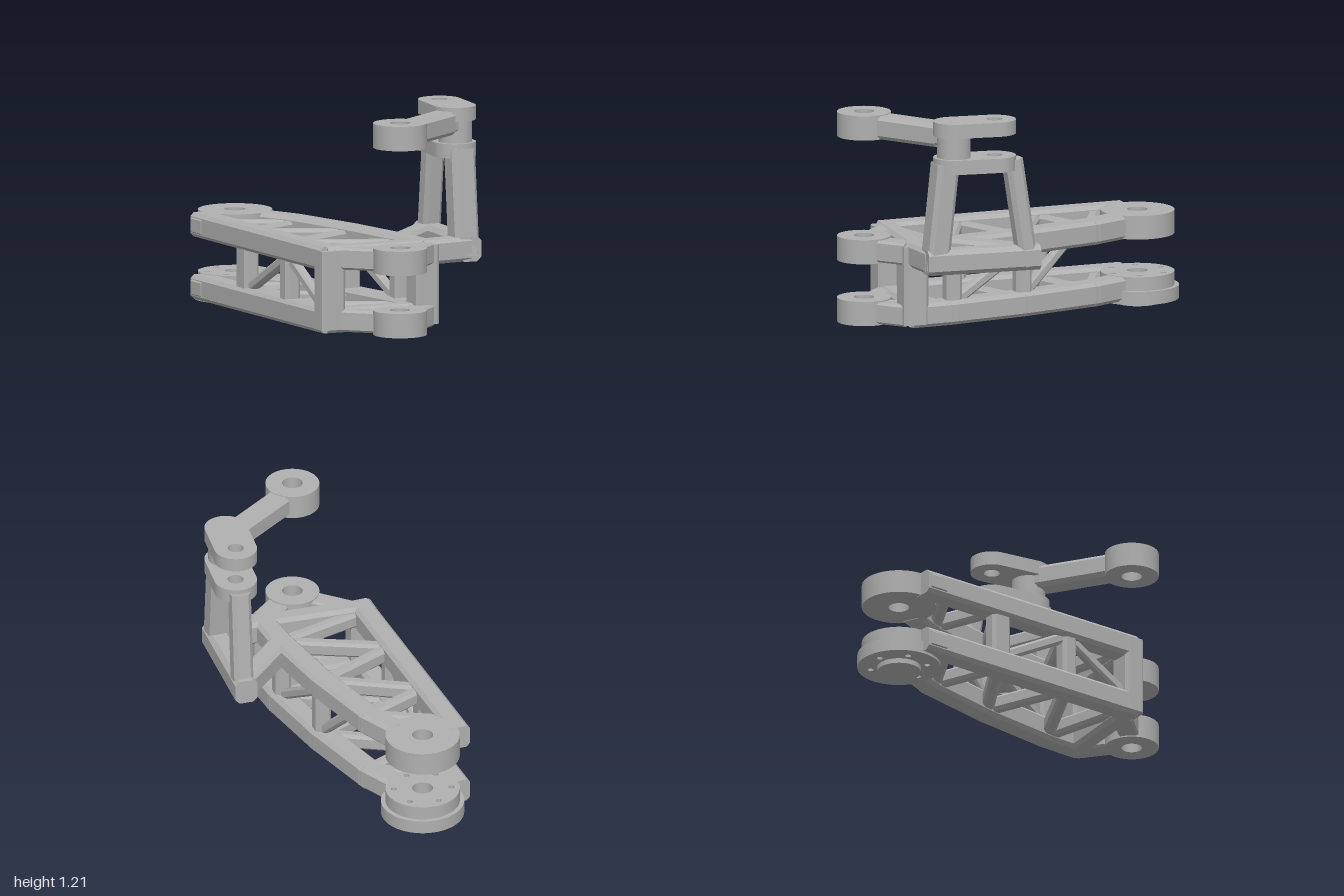
import * as THREE from 'three';
import { toCreasedNormals } from 'three/addons/utils/BufferGeometryUtils.js';

export function createModel() {
  const model = new THREE.Group();
  const grey = new THREE.MeshStandardMaterial({ color: 0xb0b0b0 });
  grey.name = 'grey';

  const add = (name, geometry, parent = model) => {
    const mesh = new THREE.Mesh(geometry, grey);
    mesh.name = name;
    parent.add(mesh);
    return mesh;
  };

  // Chamfered beam between two points; w is sideways, h is the other way
  const beam = (name, a, b, w, h, chamfer = 0.018, extra = 0) => {
    const from = new THREE.Vector3(...a), to = new THREE.Vector3(...b);
    const dir = to.clone().sub(from);
    const length = dir.length() + extra * 2;
    dir.normalize();
    const hint = Math.abs(dir.y) > 0.9 ? new THREE.Vector3(0, 0, 1) : new THREE.Vector3(0, 1, 0);
    const side = new THREE.Vector3().crossVectors(hint, dir).normalize();
    const up = new THREE.Vector3().crossVectors(dir, side);
    const x = w / 2, y = h / 2, c = chamfer;
    const section = new THREE.Shape([
      [x, -y + c], [x, y - c], [x - c, y], [-x + c, y],
      [-x, y - c], [-x, -y + c], [-x + c, -y], [x - c, -y],
    ].map(p => new THREE.Vector2(...p)));
    const g = new THREE.ExtrudeGeometry(section, { depth: length, bevelEnabled: false });
    g.translate(0, 0, -extra);
    g.applyMatrix4(new THREE.Matrix4().makeBasis(side, up, dir).setPosition(from));
    return add(name, g);
  };

  // Flat plate from a plan outline (shape y = -z)
  const plate = (name, shape, y0, y1) => {
    const g = new THREE.ExtrudeGeometry(shape, { depth: y1 - y0, bevelEnabled: false, curveSegments: 40 });
    g.rotateX(-Math.PI / 2);
    g.translate(0, y0, 0);
    return add(name, toCreasedNormals(g, 0.5));
  };
  const hole = (shape, x, z, r) => {
    const p = new THREE.Path();
    p.absarc(x, -z, r, 0, Math.PI * 2, true);
    shape.holes.push(p);
  };
  const ring = (name, x, z, r, inner, y0, y1, bolts = 0) => {
    const s = new THREE.Shape();
    s.absarc(x, -z, r, 0, Math.PI * 2, false);
    hole(s, x, z, inner);
    for (let i = 0; i < bolts; i++) {
      const t = (i / bolts) * Math.PI * 2 + 0.3;
      hole(s, x + Math.cos(t) * 0.155, z + Math.sin(t) * 0.155, 0.016);
    }
    return plate(name, s, y0, y1);
  };

  // Upper and lower chord frames with zigzag lacing
  const levels = [['lower', 0.107], ['upper', 0.445]];
  const rightLine = [[-0.15, -0.62], [-0.07, -0.44], [0.035, 0], [0.105, 0.45], [0.115, 0.66]];
  const leftX = z => -0.43 - (0.62 - z) * 0.019;
  const lacing = [
    [leftX(-0.62), -0.62], [-0.07, -0.42], [leftX(-0.27), -0.27], [0.03, 0],
    [leftX(0.19), 0.19], [0.1, 0.45], [leftX(0.58), 0.58],
  ];
  for (const [level, y] of levels) {
    beam(level + 'LeftChord', [-0.456, y, -0.76], [-0.43, y, 0.61], 0.125, 0.132, 0.02, 0.02);
    beam(level + 'LeftChordEnd', [-0.463, y, -0.765], [-0.46, y, -0.66], 0.125, 0.105);
    beam(level + 'FrontChord', [-0.43, y, 0.6], [0.115, y, 0.65], 0.11, 0.132, 0.02, 0.02);
    for (let i = 0; i < rightLine.length - 1; i++) {
      const [a, b] = [rightLine[i], rightLine[i + 1]];
      beam(level + 'RightChord', [a[0], y, a[1]], [b[0], y, b[1]], 0.13, 0.132, 0.02, 0.02);
    }
    for (let i = 0; i < lacing.length - 1; i++) {
      const [a, b] = [lacing[i], lacing[i + 1]];
      beam(level + 'Lacing', [a[0], y, a[1]], [b[0], y, b[1]], 0.068, 0.085, 0.016);
    }
    // Front pivot eye and its two webs
    ring(level + 'FrontEye', -0.125, 0.85, 0.145, 0.055, y - 0.066, y + 0.066);
    beam(level + 'FrontEyeWebLeft', [-0.2, y, 0.78], [-0.36, y, 0.62], 0.11, 0.118, 0.012);
    beam(level + 'FrontEyeWebRight', [-0.04, y, 0.8], [0.11, y, 0.68], 0.13, 0.118, 0.012);
  }

  // Posts
  for (const [x, z, w, d] of [
    [-0.425, 0.61, 0.14, 0.12], [leftX(0.19), 0.19, 0.09, 0.09], [leftX(-0.27), -0.27, 0.09, 0.12],
    [0.115, 0.665, 0.14, 0.14], [0.1, 0.43, 0.09, 0.09], [0.035, 0, 0.09, 0.09],
  ]) beam('post', [x, 0.06, z], [x, 0.49, z], w, d);

  // Diagonal braces in the side faces
  for (const [a, b] of [
    [[leftX(-0.27), 0.15, -0.27], [leftX(0.19), 0.4, 0.19]],
    [[leftX(0.6), 0.15, 0.6], [leftX(0.19), 0.4, 0.19]],
    [[0.1, 0.15, 0.43], [0.035, 0.4, 0.02]],
    [[0.035, 0.15, 0], [-0.03, 0.4, -0.27]],
  ]) beam('sideBrace', a, b, 0.055, 0.055, 0.012);

  // Rear hubs: plain ring above, bolted flange below
  ring('upperRearHub', -0.245, -0.78, 0.2, 0.056, 0.382, 0.51);
  ring('lowerRearHub', -0.245, -0.78, 0.2, 0.056, 0.1, 0.175, 6);
  ring('rearFlange', -0.245, -0.78, 0.224, 0.056, 0.027, 0.1, 6);
  const pad = add('rearFlangePad', new THREE.CylinderGeometry(0.118, 0.118, 0.03, 48));
  pad.position.set(-0.245, 0.015, -0.78);

  // Triangular side bracket and its two legs
  const yb = 0.445;
  beam('bracketRearArm', [0.1, yb, 0.43], [0.44, yb, 0.125], 0.12, 0.132, 0.02);
  beam('bracketFrontArm', [0.1, yb, 0.66], [0.39, yb, 0.645], 0.12, 0.132, 0.02);
  beam('bracketOuterBeam', [0.39, yb, 0.7], [0.44, yb, 0.07], 0.125, 0.136, 0.025);
  beam('frontLeg', [0.378, 0.4, 0.645], [0.383, 0.975, 0.585], 0.145, 0.125, 0.022);
  beam('rearLeg', [0.44, 0.4, 0.13], [0.425, 0.985, 0.215], 0.11, 0.1, 0.022);

  // Elbow links around a pivot pin
  const p = [0.41, -0.31], q = [0.382, -0.53], r = 0.115;
  const t = Math.atan2(p[1] - q[1], p[0] - q[0]), h = Math.PI / 2;
  for (const [name, y0, y1] of [['lowerLink', 0.932, 1.01], ['upperLink', 1.13, 1.207]]) {
    const s = new THREE.Shape();
    s.absarc(p[0], p[1], r, t - h, t + h, false);
    s.absarc(q[0], q[1], r, t + h, t + 3 * h, false);
    hole(s, p[0], -p[1], 0.043);
    plate(name, s, y0, y1);
  }
  const pin = add('pivotPin', new THREE.CylinderGeometry(0.09, 0.09, 0.14, 40));
  pin.position.set(0.385, 1.07, 0.535);

  // Top arm with its end eye
  ring('topArmEye', -0.125, 0.85, 0.145, 0.055, 1.057, 1.19);
  beam('topArm', [-0.04, 1.122, 0.79], [0.3, 1.122, 0.575], 0.135, 0.128, 0.022);
  beam('topArmTip', [0.26, 1.118, 0.6], [0.36, 1.118, 0.55], 0.125, 0.1);

  return model;
}
